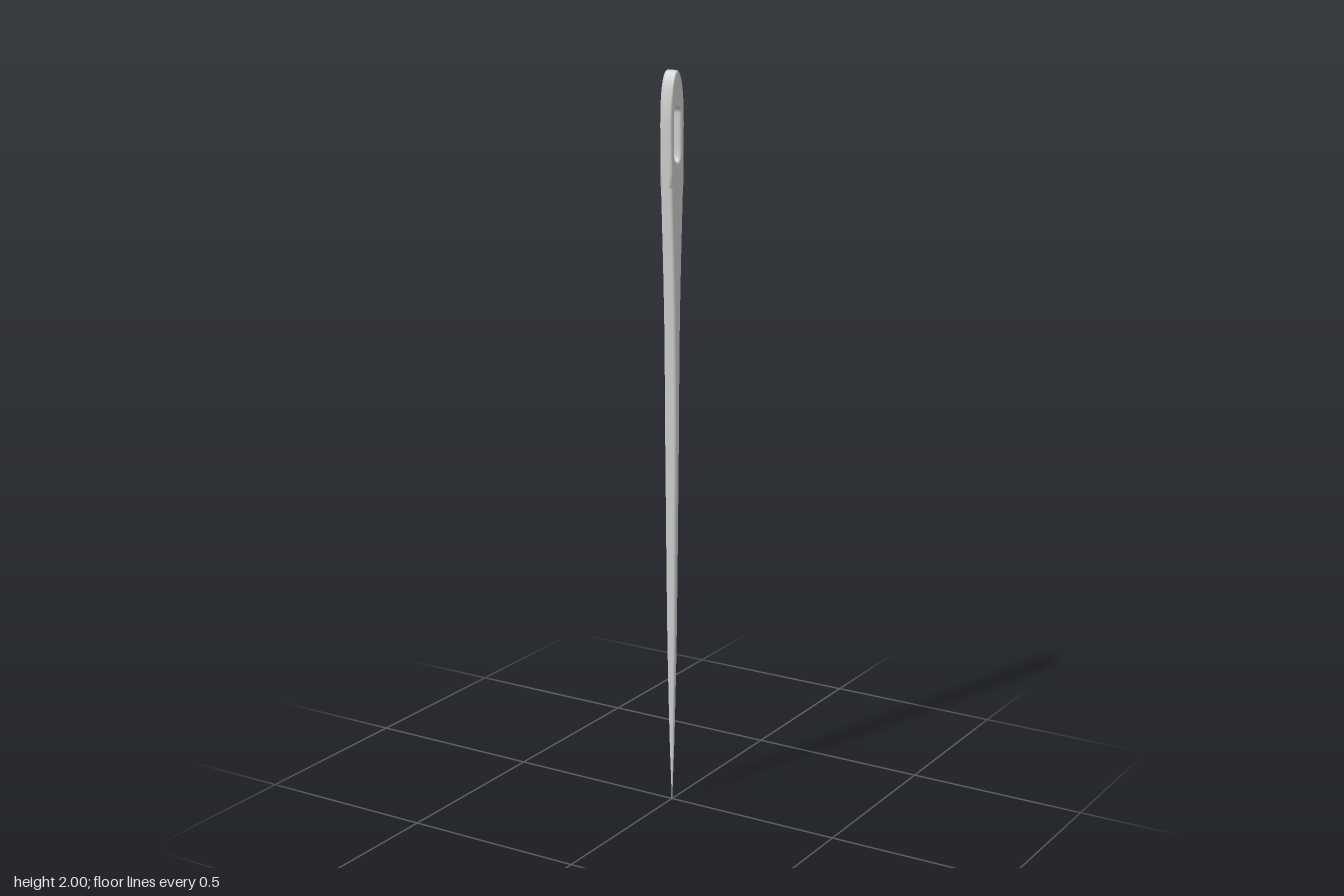
import * as THREE from 'three';

// Half widths of the needle by height: [y, half x, half z]
const PROFILE = [
  [0, 0.0008, 0.0006], [0.07, 0.003, 0.002], [0.15, 0.006, 0.0035], [0.28, 0.009, 0.006],
  [0.44, 0.0125, 0.0075], [0.65, 0.015, 0.009], [1.0, 0.0175, 0.011], [1.2, 0.018, 0.0125],
  [1.35, 0.018, 0.015], [1.5, 0.018, 0.0205], [1.6, 0.018, 0.0252], [1.7, 0.018, 0.03],
  [1.74, 0.018, 0.0312],
];
const EYE = { low: 1.78, high: 1.89, radius: 0.014 };

// Rounded rectangle as [x, z] pairs, counter-clockwise
function roundedRect(hx, hz) {
  const r = Math.min(0.007, 0.75 * Math.min(hx, hz));
  const points = [];
  for (const [sx, sz, start] of [[1, 1, 0], [-1, 1, 1], [-1, -1, 2], [1, -1, 3]]) {
    for (let i = 0; i <= 4; i++) {
      const a = (start + i / 4) * Math.PI / 2;
      points.push([sx * (hx - r) + r * Math.cos(a), sz * (hz - r) + r * Math.sin(a)]);
    }
  }
  return points;
}

// Skin over a row of closed rings; a looped row joins its last ring to its first
function loft(rings, looped) {
  const n = rings[0].length;
  const index = [];
  for (let j = 0; j < rings.length - (looped ? 0 : 1); j++) {
    for (let k = 0; k < n; k++) {
      const next = ((j + 1) % rings.length) * n;
      const k2 = (k + 1) % n;
      const a = j * n + k, b = j * n + k2, c = next + k, d = next + k2;
      index.push(a, c, b, b, c, d);
    }
  }
  const geometry = new THREE.BufferGeometry();
  geometry.setAttribute('position', new THREE.Float32BufferAttribute(rings.flat(2), 3));
  geometry.setIndex(index);
  geometry.computeVertexNormals();
  return geometry;
}

// Tapering shaft, from the point up to just below the eye
function shaftGeometry() {
  return loft(PROFILE.map(([y, hx, hz]) => roundedRect(hx, hz).map(([x, z]) => [x, y, z])), false);
}

// Head: a rounded band swept around the eye
function headGeometry() {
  const half = [[0.015, 1.7], [0.03, 1.7], [0.0312, 1.74], [0.0322, 1.78], [0.033, 1.82]];
  for (let i = 0; i < 14; i++) {
    const a = (i / 14) * Math.PI / 2;
    half.push([0.0335 * Math.cos(a), 1.86 + 0.14 * Math.sin(a)]);
  }
  const mirrored = half.map(([z, y]) => [-z, y]).reverse();
  const outline = [[0, 1.7], ...half, [0, 2], ...mirrored];

  const rings = outline.map(([z, y]) => {
    const outer = new THREE.Vector2(z, y);
    const centre = new THREE.Vector2(0, THREE.MathUtils.clamp(y, EYE.low, EYE.high));
    const out = outer.clone().sub(centre).normalize();
    const inner = centre.addScaledVector(out, EYE.radius);
    const middle = inner.clone().add(outer).multiplyScalar(0.5);
    return roundedRect(0.018, inner.distanceTo(outer) / 2)
      .map(([x, u]) => [x, middle.y + out.y * u, middle.x + out.x * u]);
  });
  return loft(rings, true);
}

export function createModel() {
  const group = new THREE.Group();
  group.name = 'sewingNeedle';
  const material = new THREE.MeshStandardMaterial({ color: 0xcccccc });
  for (const [name, geometry] of [['shaft', shaftGeometry()], ['eyeHead', headGeometry()]]) {
    const mesh = new THREE.Mesh(geometry, material);
    mesh.name = name;
    group.add(mesh);
  }
  return group;
}
